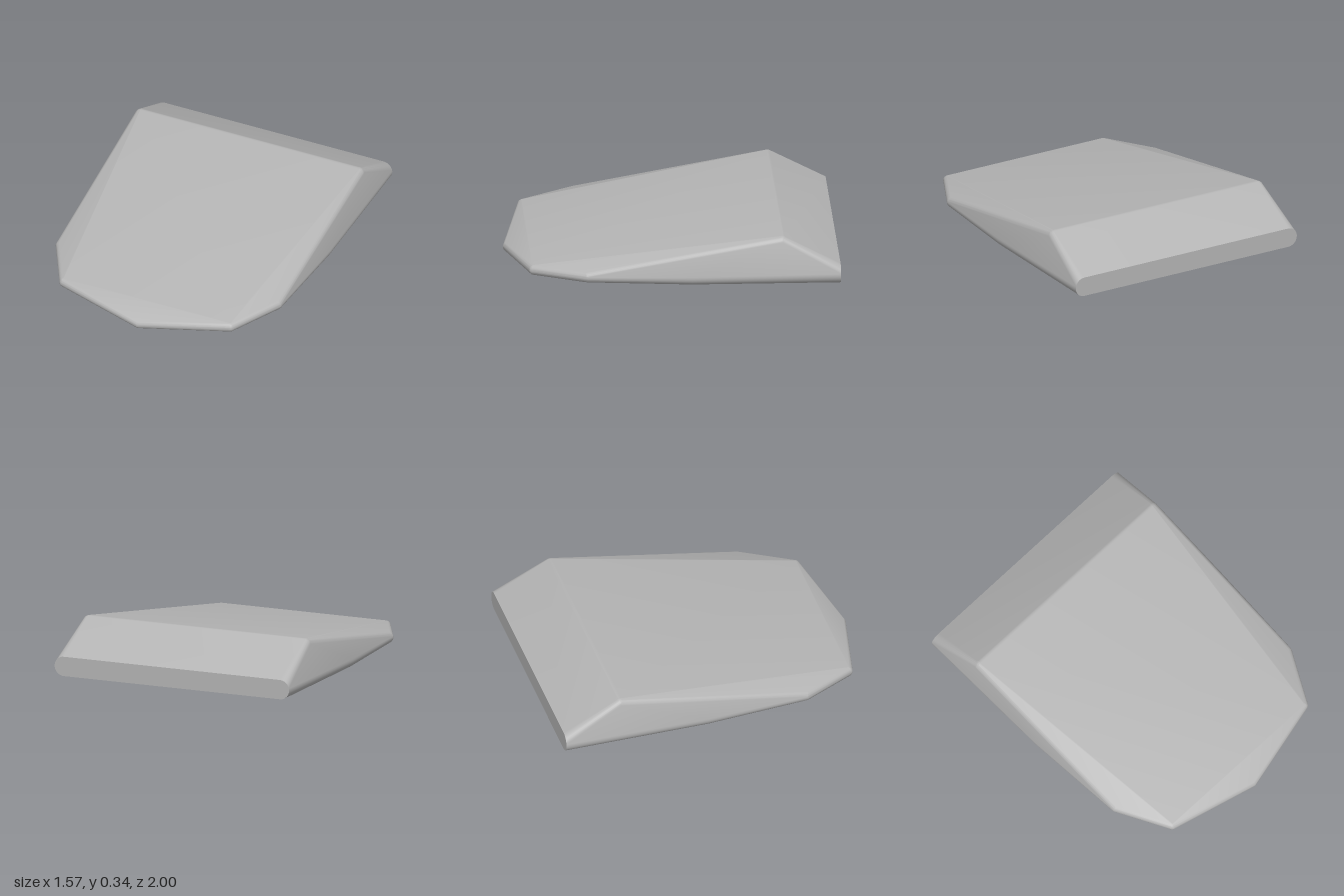
import * as THREE from 'three';
import { ConvexGeometry } from 'three/addons/geometries/ConvexGeometry.js';
import { toCreasedNormals } from 'three/addons/utils/BufferGeometryUtils.js';

// points on a small ball: the rounded corner of the wedge
function ball(x, y, z, r) {
  const points = [new THREE.Vector3(x, y + r, z), new THREE.Vector3(x, y - r, z)];
  const rings = 16, sides = 32;
  for (let i = 1; i < rings; i++) {
    for (let j = 0; j < sides; j++) {
      points.push(new THREE.Vector3().setFromSphericalCoords(r, Math.PI * i / rings, Math.PI * 2 * j / sides).add(new THREE.Vector3(x, y, z)));
    }
  }
  return points;
}

// points on an upright disc: the rounded end of the flat rear face
function disc(x, y, z, r) {
  const points = [];
  for (let j = 0; j < 32; j++) {
    const a = Math.PI * 2 * j / 32;
    points.push(new THREE.Vector3(x + r * Math.cos(a), y + r * Math.sin(a), z));
  }
  return points;
}

export function createModel() {
  const group = new THREE.Group();
  const grey = new THREE.MeshStandardMaterial({ color: 0xb4b4b4 });
  grey.name = 'grey';

  // nose tip, then every corner mirrored left and right
  const points = ball(0, 0.03, 0.97, 0.03);
  for (const s of [1, -1]) {
    points.push(
      ...ball(s * 0.55, 0.09, 0.845, 0.032),  // front shoulder
      ...ball(s * 0.715, 0.1, 0.53, 0.035),   // widening corner
      ...ball(s * 0.735, 0.095, -0.1, 0.05),  // start of the straight side
      ...ball(s * 0.72, 0.3, -0.645, 0.04),   // top ridge
      ...disc(s * 0.725, 0.095, -1, 0.06)     // rear face
    );
  }
  const body = new THREE.Mesh(toCreasedNormals(new ConvexGeometry(points), 0.3), grey);
  body.name = 'wedgeBody';
  group.add(body);
  return group;
}
